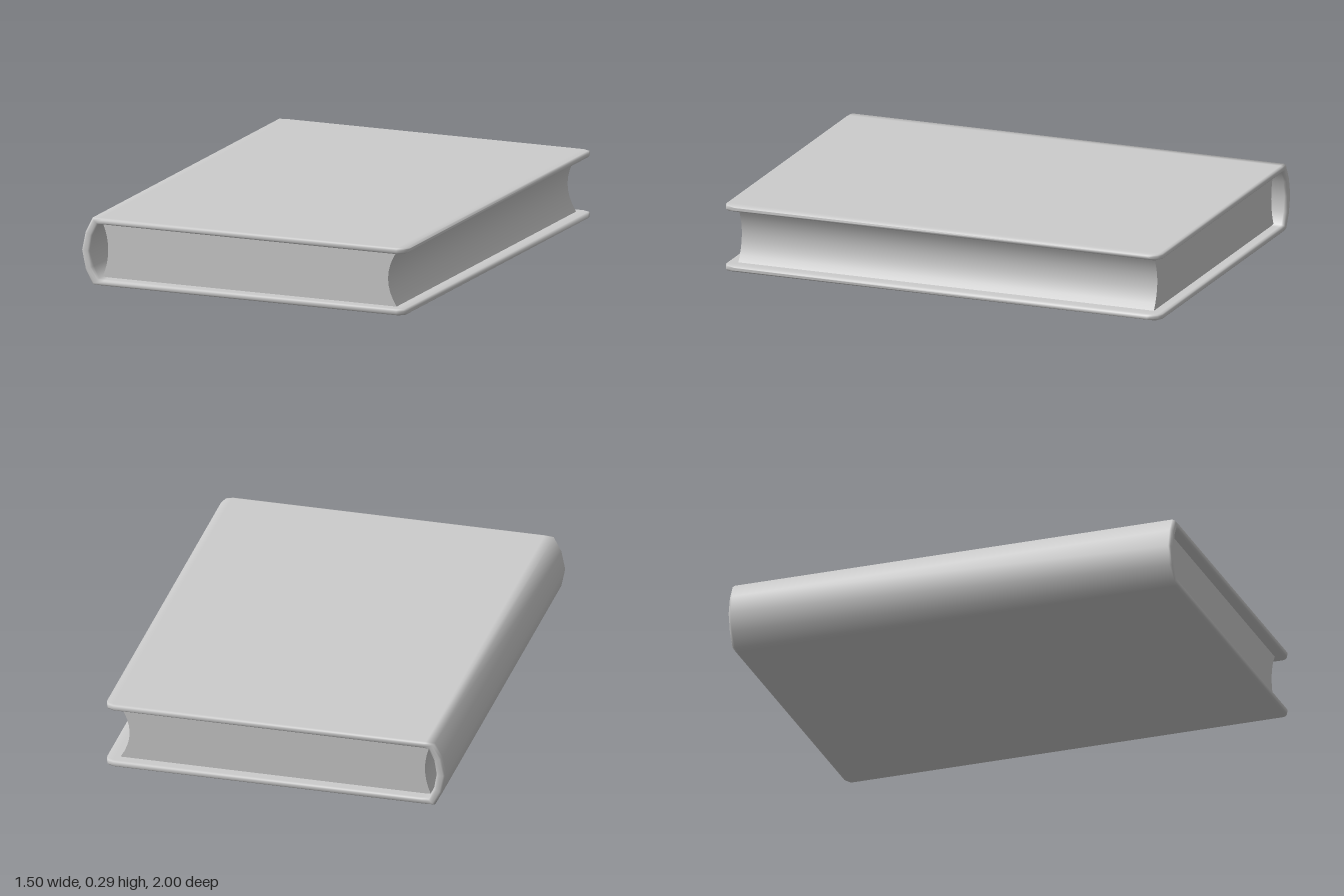
import * as THREE from 'three';
import { toCreasedNormals } from 'three/addons/utils/BufferGeometryUtils.js';

const MID = 0.1475; // half of the total thickness

// Skin a list of equal-length rings, with fan caps on both ends.
function skin(rings) {
  const n = rings[0].length;
  const index = [];
  for (let i = 0; i < rings.length - 1; i++) {
    for (let j = 0; j < n; j++) {
      const a = i * n + j, b = i * n + (j + 1) % n;
      index.push(a, b, a + n, b, b + n, a + n);
    }
  }
  const last = (rings.length - 1) * n;
  for (let j = 1; j < n - 1; j++) {
    index.push(0, j + 1, j, last, last + j, last + j + 1);
  }
  const g = new THREE.BufferGeometry();
  g.setAttribute('position', new THREE.Float32BufferAttribute(rings.flat(2), 3));
  g.setIndex(index);
  g.computeVertexNormals();
  return g;
}

// Wrap-around cover: stations run from the upper fore edge to the spine middle,
// then mirrored to the lower fore edge.
// Each station: outer x, outer y, inner x, inner y (from mid height), half depth.
function coverGeometry() {
  const upper = [
    [0.75, 0.14, 0.75, 0.126, 0.955],
    [0.738, 0.1465, 0.738, 0.12, 0.987],
    [0.71, 0.1475, 0.71, 0.119, 1],
    [-0.66, 0.1475, -0.64, 0.119, 1],
    [-0.7, 0.1455, -0.67, 0.117, 1],
    [-0.733, 0.082, -0.695, 0.066, 1],
  ];
  const lower = upper.map(([a, b, c, d, h]) => [a, -b, c, -d, h]).reverse();
  const stations = [...upper, [-0.75, 0, -0.706, 0, 1], ...lower];

  // Rounded-edge cross-section: blend from outer to inner, and depth inset.
  const half = [[0, 0.014], [0.12, 0.004], [0.3, 0], [0.7, 0], [0.88, 0.004], [1, 0.014]];
  const rings = stations.map(([ox, oy, ix, iy, h]) => {
    const at = (t, z) => [ox + (ix - ox) * t, MID + oy + (iy - oy) * t, z];
    return [
      ...half.map(([t, inset]) => at(t, -(h - inset))),
      ...half.map(([t, inset]) => at(t, h - inset)).reverse(),
    ];
  });
  return skin(rings);
}

// Page block with a hollow fore edge and a hollow back behind the spine.
function pagesGeometry() {
  const h = 0.121, depth = 1.9;
  const s = new THREE.Shape();
  s.moveTo(-0.672, MID - h);
  s.lineTo(0.692, MID - h);
  s.quadraticCurveTo(0.61, MID, 0.692, MID + h);
  s.lineTo(-0.672, MID + h);
  s.quadraticCurveTo(-0.618, MID, -0.672, MID - h);
  const g = new THREE.ExtrudeGeometry(s, { depth, bevelEnabled: false, curveSegments: 8 });
  g.translate(0, 0, -depth / 2);
  return toCreasedNormals(g, 0.6);
}

export function createModel() {
  const group = new THREE.Group();
  group.name = 'book';
  const material = new THREE.MeshStandardMaterial({ color: 0xcccccc });
  const parts = { cover: coverGeometry(), pages: pagesGeometry() };
  for (const [name, geometry] of Object.entries(parts)) {
    const mesh = new THREE.Mesh(geometry, material);
    mesh.name = name;
    group.add(mesh);
  }
  return group;
}
